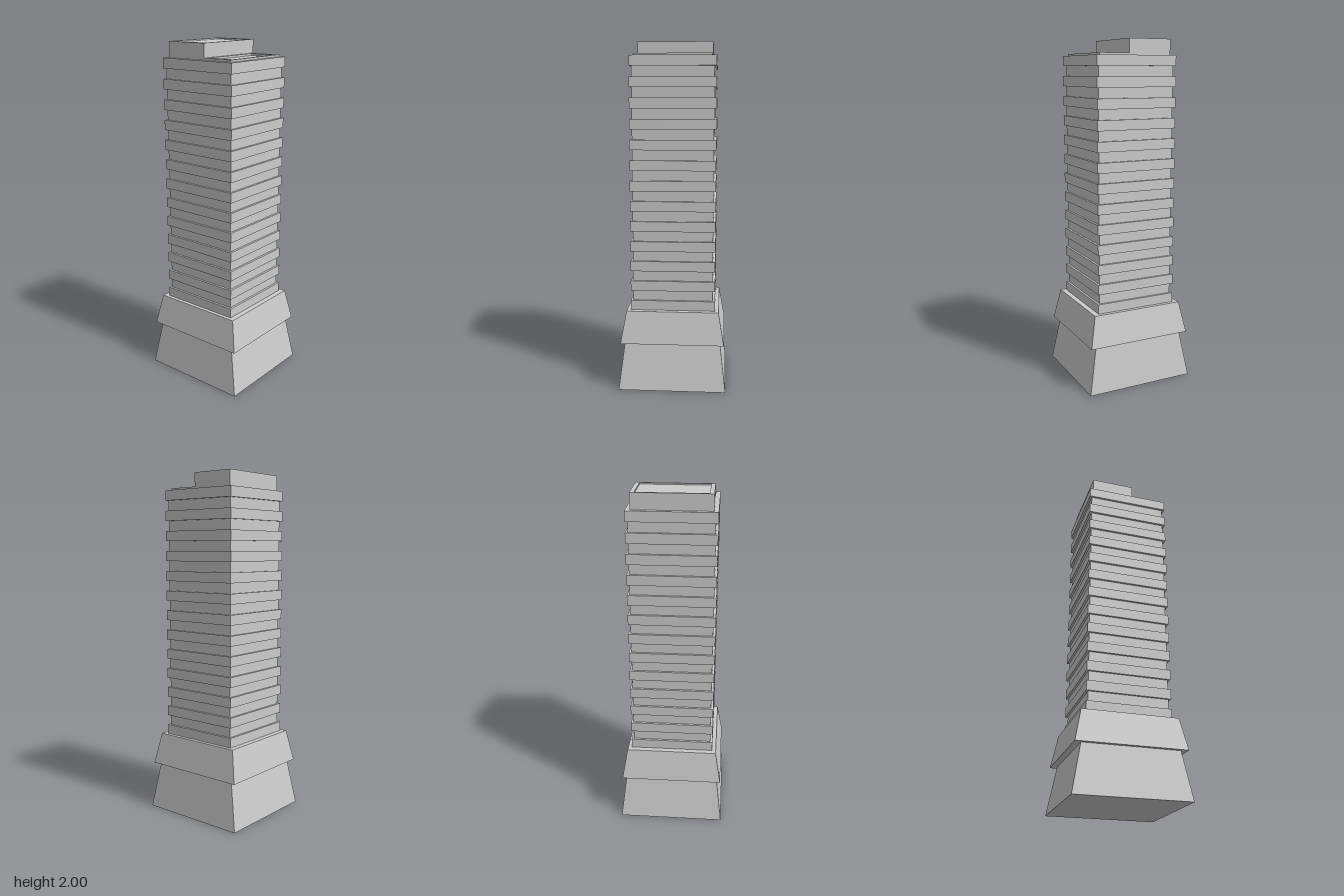
import * as THREE from 'three';

const material = new THREE.MeshStandardMaterial({ color: 0xcccccc, flatShading: true });

function addMesh(group, name, geometry) {
  const mesh = new THREE.Mesh(geometry, material);
  mesh.name = name;
  group.add(mesh);
  return mesh;
}

// Box between two heights whose top may be narrower than its bottom (half sizes [x, z])
function taperedBox(y0, y1, bottom, top = bottom) {
  const geometry = new THREE.BoxGeometry(2, y1 - y0, 2);
  geometry.translate(0, (y0 + y1) / 2, 0);
  const p = geometry.attributes.position;
  for (let i = 0; i < p.count; i++) {
    const half = p.getY(i) > (y0 + y1) / 2 ? top : bottom;
    p.setX(i, p.getX(i) * half[0]);
    p.setZ(i, p.getZ(i) * half[1]);
  }
  geometry.computeVertexNormals();
  return geometry;
}

// Counter-clockwise rectangle; shape y becomes -z once laid flat
function rectangle(Type, [x0, x1, z0, z1]) {
  return new Type([[x0, -z1], [x1, -z1], [x1, -z0], [x0, -z0]].map(([x, y]) => new THREE.Vector2(x, y)));
}

// Block with a shallow recess in its top
function recessedBlock(group, name, y0, y1, outer, inner, depth) {
  const part = new THREE.Group();
  part.name = name;
  const slab = (label, shape, from, to) => {
    const geometry = new THREE.ExtrudeGeometry(shape, { depth: to - from, bevelEnabled: false });
    geometry.rotateX(-Math.PI / 2).translate(0, from, 0);
    addMesh(part, label, geometry);
  };
  const rim = rectangle(THREE.Shape, outer);
  rim.holes.push(rectangle(THREE.Path, inner));
  slab(name + 'Parapet', rim, y0, y1);
  slab(name + 'Deck', rectangle(THREE.Shape, inner), y0, y1 - depth);
  group.add(part);
}

export function createModel() {
  const model = new THREE.Group();
  model.name = 'tower';

  // Sloped podium with an overhanging skirt
  addMesh(model, 'podium', taperedBox(0, 0.275, [0.326, 0.309], [0.276, 0.276]));
  addMesh(model, 'skirt', taperedBox(0.275, 0.46, [0.313, 0.298], [0.276, 0.266]));

  // Shaft with a projecting band at every floor
  addMesh(model, 'shaft', taperedBox(0.46, 1.9, [0.231, 0.231]));
  const floors = 13, pitch = 0.1162, bandHeight = 0.058;
  for (let i = 0; i < floors; i++) {
    const top = 0.516 + i * pitch;
    addMesh(model, 'floorBand' + (i + 1), taperedBox(top - bandHeight, top, [0.244, 0.244]));
  }

  // Roof: tall penthouse beside a low terrace, both recessed on top
  recessedBlock(model, 'penthouse', 1.9, 2, [-0.219, 0.037, -0.219, 0.219], [-0.206, 0.025, -0.195, 0.195], 0.008);
  recessedBlock(model, 'terrace', 1.895, 1.922, [0.037, 0.219, -0.219, 0.219], [0.053, 0.204, -0.183, 0.183], 0.012);

  return model;
}
